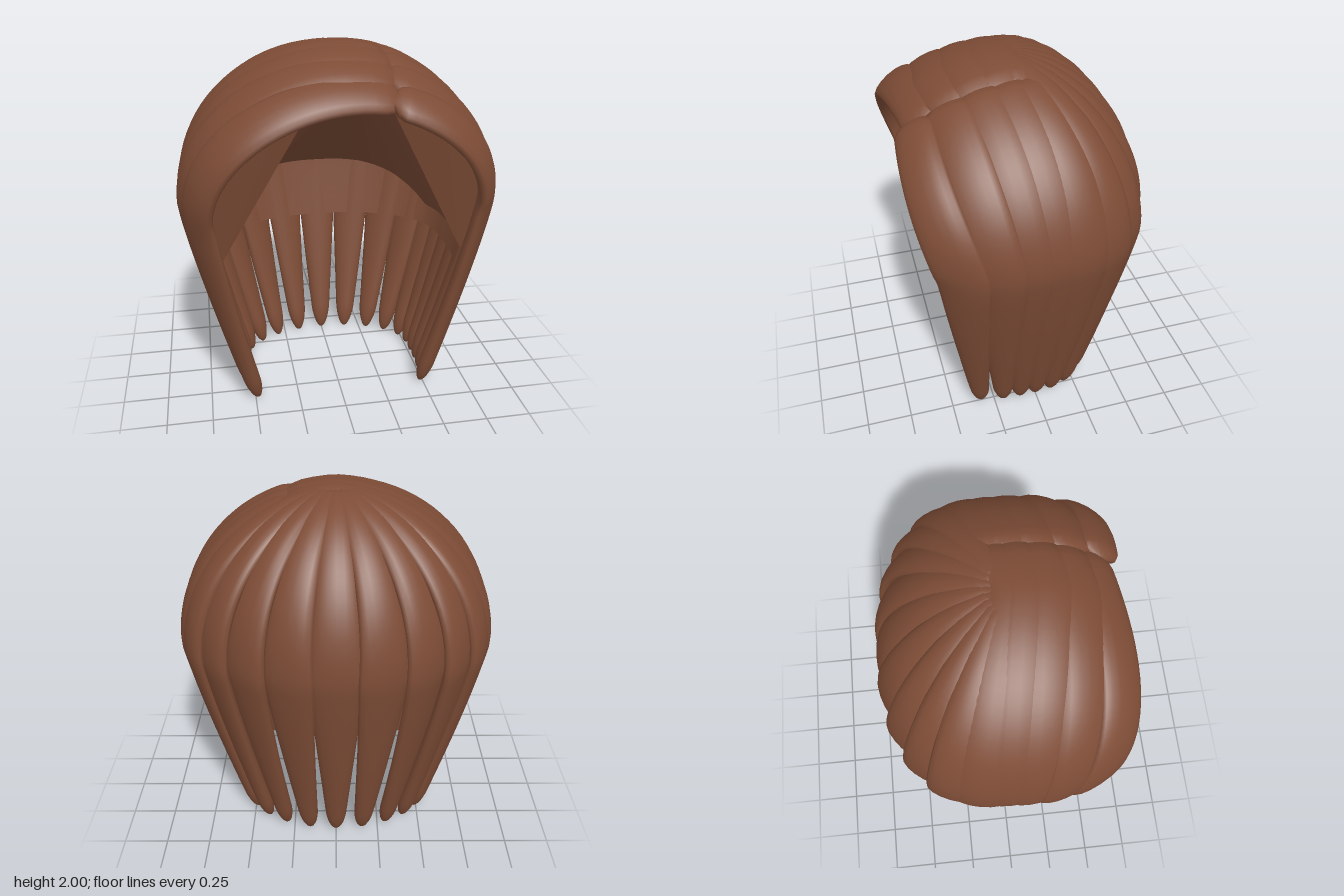
import * as THREE from 'three';

// Half of the hairline, from centre back to the front edge:
// x and z at the widest level, z of the root on the crown, half width at the root
const STRANDS = [
  [0, -0.60, 0.06, 0.06], [0.24, -0.58, 0.06, 0.06], [0.46, -0.515, 0.06, 0.06],
  [0.63, -0.42, 0.06, 0.06], [0.75, -0.295, 0.06, 0.07], [0.80, -0.15, 0.08, 0.11],
  [0.81, 0, 0.15, 0.13], [0.81, 0.14, 0.27, 0.13], [0.80, 0.28, 0.40, 0.13], [0.755, 0.445, 0.53, 0.11],
];
const WIDEST = 1.2, DROP = 1.19;
const lerp = THREE.MathUtils.lerp;

// Dome part: a is the angle from the crown (0) to the widest level (90 degrees)
function domePoint(x, z, rootZ, a, top = 1.96) {
  const s = Math.sin(a);
  const height = top - 0.84 * Math.max(0, rootZ - 0.1) ** 2;
  const bulge = 0.085 * Math.max(0, (rootZ - 0.2) / 0.33) * Math.max(0, Math.sin(2 * a));
  return new THREE.Vector3(
    x * s,
    WIDEST + (height - WIDEST) * Math.cos(a),
    lerp(rootZ, z, Math.abs(s)) + bulge);
}

// Hanging part: q runs from the widest level (0) to the tip (1)
function hangPoint(x, z, q) {
  const k = q ** 1.15;
  return new THREE.Vector3(
    x * (1 - 0.36 * k), WIDEST - q * DROP, z * (1 - (0.36 - 0.2 * Math.max(0, z)) * k));
}

// Surface from a grid of points; wrap joins the last column to the first
function gridGeometry(rows, wrap) {
  const n = rows[0].length, index = [];
  for (let j = 0; j < rows.length - 1; j++) {
    for (let i = 0; i < (wrap ? n : n - 1); i++) {
      const a = j * n + i, c = j * n + (i + 1) % n;
      index.push(a, a + n, c, a + n, c + n, c);
    }
  }
  const geo = new THREE.BufferGeometry().setFromPoints(rows.flat());
  geo.setIndex(index);
  geo.computeVertexNormals();
  return geo;
}

// Flattened lock of hair swept from the crown to a rounded tip
function strandGeometry([x, z, rootZ, rootWidth], side, start) {
  const at = v => v < 0.5
    ? domePoint(x * side, z, rootZ, lerp(start, Math.PI / 2, v * 2))
    : hangPoint(x * side, z, v * 2 - 1);
  const rows = [], steps = 72, sides = 16;
  for (let j = 0; j <= steps; j++) {
    const v = 1 - (1 - j / steps) ** 1.5, p = at(v);
    const t = at(Math.min(1, v + 0.04)).sub(at(Math.max(0, v - 0.04))).normalize();
    const out = new THREE.Vector3(p.x, p.y - Math.min(p.y, 1), p.z);
    const lateral = new THREE.Vector3().crossVectors(t, out).normalize();
    const normal = new THREE.Vector3().crossVectors(lateral, t);
    const q = Math.max(0, v * 2 - 1), d = Math.min(1, v * 2);
    const tip = Math.sqrt(Math.max(0, 1 - (Math.max(0, q - 0.87) / 0.13) ** 2));
    const root = Math.sqrt(Math.min(1, v / 0.03));
    const w = lerp(rootWidth, 0.142, d) * (1 - 0.66 * q) * tip * root;
    const h = 0.045 * tip * root;
    const ring = [];
    for (let i = 0; i < sides; i++) {
      const u = i / sides * Math.PI * 2;
      ring.push(p.clone().addScaledVector(lateral, Math.cos(u) * w).addScaledVector(normal, Math.sin(u) * h));
    }
    rows.push(ring);
  }
  return gridGeometry(rows, true);
}

// Hairline from the right front edge around the back to the left front edge (x, z, rootZ)
function hairline() {
  const half = STRANDS.map(([x, z, r]) => new THREE.Vector3(x, z, r));
  const right = half.slice(1).reverse().map(p => new THREE.Vector3(-p.x, p.y, p.z));
  return new THREE.CatmullRomCurve3([...right, ...half]).getPoints(72)
    .map(p => [p.x * 0.925, p.y * 0.925, p.z]);
}

// Thin cap under the locks, open at the face and ending above the tips
function capGeometry(line) {
  const rows = [];
  for (let j = 0; j <= 32; j++) {
    rows.push(line.map(([x, z, r]) => j <= 24
      ? domePoint(x, z, r, j / 24 * Math.PI / 2, 1.92)
      : hangPoint(x, z, (j - 24) / 8 * 0.34)));
  }
  return gridGeometry(rows, false);
}

// Rim of the ceiling on the cap, sinking from the back towards the sides
const rimPoint = ([x, z]) => {
  const y = 1.15 - 0.24 * Math.min(1, Math.abs(x) / 0.7) ** 3;
  return hangPoint(x, z, (WIDEST - y) / DROP);
};

// Sloping ceiling from the top of the face opening back to the rim
function ceilingGeometry(line) {
  const n = line.length - 1;
  const front = line.map((_, i) => domePoint(0.72, 0.45, 0.53, lerp(-0.28, 0.28, i / n), 1.93));
  return gridGeometry([front, line.map(rimPoint)], false);
}

// Flat panel between the ceiling and one side of the face opening
function panelGeometry(corner, side) {
  const edge = [];
  for (let i = 0; i <= 20; i++) edge.push(domePoint(0.72 * side, 0.45, 0.53, lerp(0.28, Math.PI / 2, i / 20), 1.93));
  for (let i = 1; i <= 4; i++) edge.push(hangPoint(0.72 * side, 0.45, i / 4 * 0.24));
  return gridGeometry([edge.map(() => corner), edge], false);
}

export function createModel() {
  const group = new THREE.Group();
  group.name = 'hair';
  const hair = new THREE.MeshStandardMaterial({ color: 0x7d4c36 });
  const inner = new THREE.MeshStandardMaterial({ color: 0x7d4c36, side: THREE.DoubleSide });
  const add = (name, geo, mat) => {
    const mesh = new THREE.Mesh(geo, mat);
    mesh.name = name;
    group.add(mesh);
  };

  // Inside of the hair
  const line = hairline();
  add('innerCap', capGeometry(line), inner);
  add('ceiling', ceilingGeometry(line), inner);
  add('ceilingPanelRight', panelGeometry(rimPoint(line[0]), -1), inner);
  add('ceilingPanelLeft', panelGeometry(rimPoint(line[line.length - 1]), 1), inner);

  // Back locks radiate from the crown; side locks sweep from an off-centre parting
  STRANDS.forEach((strand, i) => {
    for (const side of i ? [1, -1] : [1]) {
      const swept = i >= 5;
      const start = swept ? (side > 0 ? 0.26 : -0.38) : 0.02;
      const name = (swept ? 'sideLock' : 'backLock') + (side > 0 ? 'Left' : 'Right') + i;
      add(name, strandGeometry(strand, side, start), hair);
    }
  });
  return group;
}
